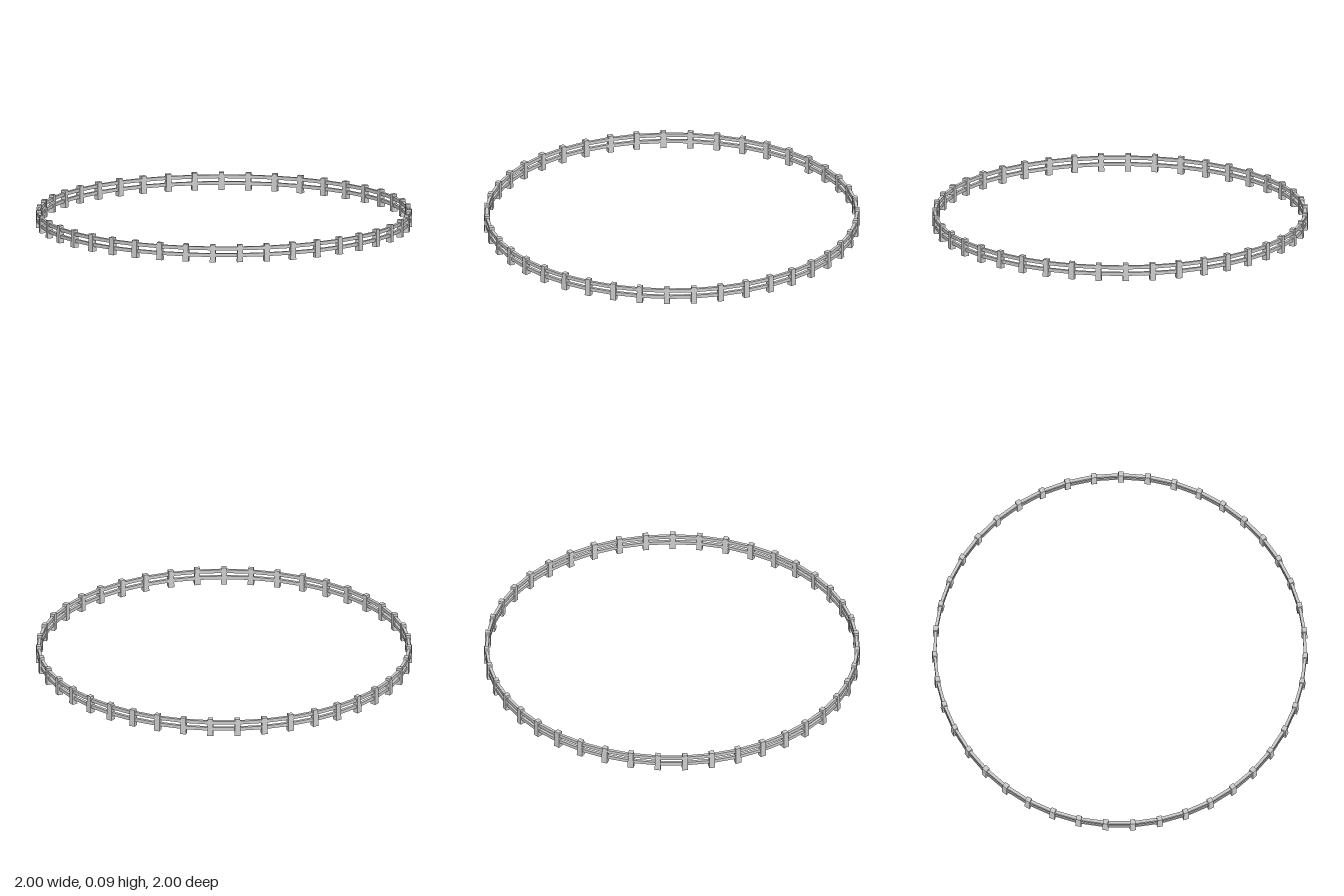
import * as THREE from 'three';

const POSTS = 43, RADIUS = 0.983, STEP = (Math.PI * 2) / POSTS, START = -0.01;
const POST_HEIGHT = 0.094;

// Square post, slightly narrower at the top
function postGeometry() {
  const g = new THREE.BoxGeometry(0.032, POST_HEIGHT, 0.03);
  g.translate(0, POST_HEIGHT / 2, 0);
  const p = g.attributes.position;
  for (let i = 0; i < p.count; i++) {
    const s = p.getY(i) > 0.01 ? 0.86 : 1;
    p.setXYZ(i, p.getX(i) * s, p.getY(i), p.getZ(i) * s);
  }
  g.computeVertexNormals();
  return g;
}

export function createModel() {
  const model = new THREE.Group();
  model.name = 'ringFence';
  const material = new THREE.MeshStandardMaterial({ color: 0xcccccc, flatShading: true });
  const post = postGeometry();
  // Straight rails span from post centre to post centre
  const rail = new THREE.BoxGeometry(2 * RADIUS * Math.sin(STEP / 2), 0.018, 0.016);
  const railRadius = RADIUS * Math.cos(STEP / 2);

  const place = (name, geometry, angle, radius, y) => {
    const mesh = new THREE.Mesh(geometry, material);
    mesh.name = name;
    mesh.position.set(Math.sin(angle) * radius - 0.002, y, Math.cos(angle) * radius - 0.003);
    mesh.rotation.y = angle;
    model.add(mesh);
  };

  for (let i = 0; i < POSTS; i++) {
    const angle = START + i * STEP;
    place('post', post, angle, RADIUS, 0);
    place('lowerRail', rail, angle + STEP / 2, railRadius, 0.036);
    place('upperRail', rail, angle + STEP / 2, railRadius, 0.072);
  }
  return model;
}
